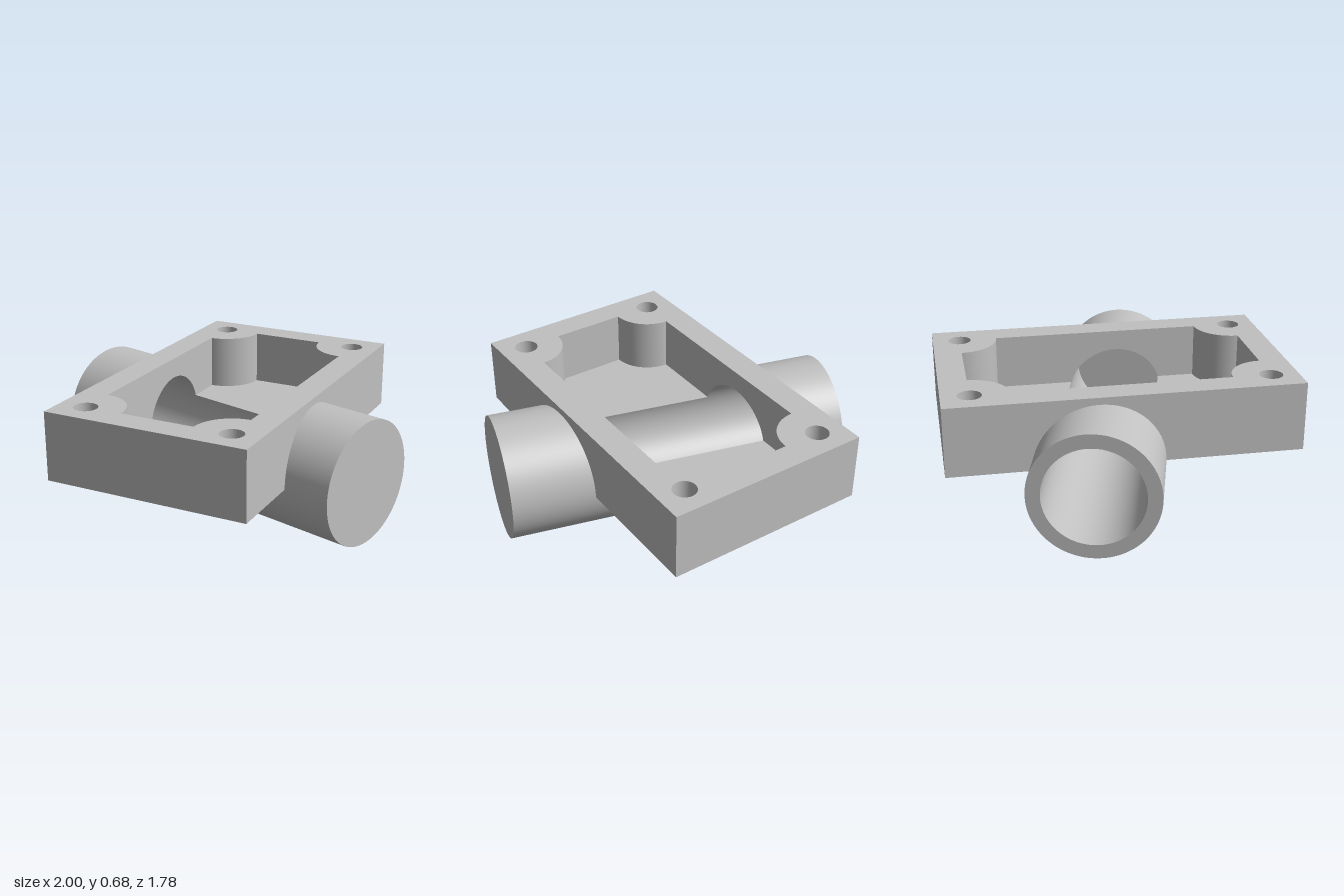
import * as THREE from 'three';

const ANGLE = Math.PI / 12, S = Math.sin(ANGLE), C = Math.cos(ANGLE);
const R = 0.32, BORE = 0.249, AXIS = 0.32, END = 0.89, CAP = 0.818;  // pipe
const L = 0.89, W = 0.534, BOTTOM = 0.32, TOP = 0.676;               // box
const PL = 0.748, PW = 0.391, FLOOR = 0.391;                         // pocket
const BOSS = 0.196, HOLE = 0.06;
const T0 = Math.asin((FLOOR - AXIS) / BORE);   // bore angle at floor level

const metal = new THREE.MeshStandardMaterial({ color: 0xc0c0c0, side: THREE.DoubleSide });
metal.name = 'light grey metal';

function add(group, name, geometry) {
  const mesh = new THREE.Mesh(geometry, metal);
  mesh.name = name;
  group.add(mesh);
  return mesh;
}

// Strip of a pipe wall between two end rules zA(x) and zB(x)
function pipeWall(r, t0, t1, zA, zB, inward) {
  const n = 64, pos = [], nor = [], idx = [], s = inward ? -1 : 1;
  for (let i = 0; i <= n; i++) {
    const t = t0 + (t1 - t0) * i / n, x = r * Math.cos(t), y = AXIS + r * Math.sin(t);
    pos.push(x, y, zA(x), x, y, zB(x));
    for (let k = 0; k < 2; k++) nor.push(s * Math.cos(t), s * Math.sin(t), 0);
    if (i === n) break;
    const a = 2 * i, b = a + 1, c = a + 2, d = a + 3;
    if (inward) idx.push(a, b, c, c, b, d);
    else idx.push(a, c, b, c, d, b);
  }
  const g = new THREE.BufferGeometry();
  g.setAttribute('position', new THREE.Float32BufferAttribute(pos, 3));
  g.setAttribute('normal', new THREE.Float32BufferAttribute(nor, 3));
  g.setIndex(idx);
  return g;
}

// Long wall with a pipe arch cut from its lower edge, facing +z at depth v
function archWall(halfLength, y0, v, t0) {
  const s = new THREE.Shape();
  s.moveTo(-halfLength, y0);
  for (let i = 0; i <= 48; i++) {
    const t = Math.PI - t0 - (Math.PI - 2 * t0) * i / 48;
    s.lineTo((BORE * Math.cos(t) - v * S) / C, AXIS + BORE * Math.sin(t));
  }
  s.lineTo(halfLength, y0);
  s.lineTo(halfLength, TOP);
  s.lineTo(-halfLength, TOP);
  return new THREE.ShapeGeometry(s).translate(0, 0, v);
}

function circle(x, y, r) {
  const p = new THREE.Path();
  p.absarc(x, y, r, 0, Math.PI * 2, false);
  return p;
}

// Notched edge of the pocket on its +x side
function pocketSide(path) {
  path.lineTo(PL - BOSS, -PW);
  path.absarc(PL, -PW, BOSS, Math.PI, Math.PI / 2, true);
  path.lineTo(PL, PW - BOSS);
  path.absarc(PL, PW, BOSS, Math.PI * 1.5, Math.PI, true);
}

function rimShape() {
  const s = new THREE.Shape();
  s.moveTo(-L, -W); s.lineTo(L, -W); s.lineTo(L, W); s.lineTo(-L, W);
  const pocket = new THREE.Path();
  pocket.moveTo(0, -PW);
  pocketSide(pocket);
  pocket.lineTo(BOSS - PL, PW);
  pocket.absarc(-PL, PW, BOSS, 0, -Math.PI / 2, true);
  pocket.lineTo(-PL, BOSS - PW);
  pocket.absarc(-PL, -PW, BOSS, Math.PI / 2, 0, true);
  pocket.closePath();
  s.holes.push(pocket);
  for (const x of [-PL, PL]) for (const y of [-PW, PW]) s.holes.push(circle(x, y, HOLE));
  return s;
}

// Half of the box; the other half is the same turned by 180 degrees
function boxHalf() {
  const half = new THREE.Group();
  add(half, 'longOuterWall', archWall(L, BOTTOM, W, 0));
  add(half, 'longPocketWall', archWall(PL - BOSS, FLOOR, -PW, T0));
  add(half, 'endOuterWall', new THREE.PlaneGeometry(2 * W, TOP - BOTTOM)
    .rotateY(Math.PI / 2).translate(L, (TOP + BOTTOM) / 2, 0));
  add(half, 'endPocketWall', new THREE.PlaneGeometry(2 * (PW - BOSS), TOP - FLOOR)
    .rotateY(Math.PI / 2).translate(-PL, (TOP + FLOOR) / 2, 0));

  // pocket floor beside the open bore (shape y is -z)
  const k = BORE * Math.cos(T0);
  const floor = new THREE.Shape();
  floor.moveTo((k - PW * S) / C, -PW);
  pocketSide(floor);
  floor.lineTo((k + PW * S) / C, PW);
  add(half, 'pocketFloor', new THREE.ShapeGeometry(floor, 16)
    .rotateX(-Math.PI / 2).translate(0, FLOOR, 0));

  // underside beside the pipe (shape y is +z)
  const under = new THREE.Shape();
  under.moveTo((0.3 + W * S) / C, -W);
  under.lineTo(L, -W);
  under.lineTo(L, W);
  under.lineTo((0.3 - W * S) / C, W);
  for (const y of [-PW, PW]) under.holes.push(circle(PL, y, HOLE));
  add(half, 'underside', new THREE.ShapeGeometry(under, 16)
    .rotateX(Math.PI / 2).translate(0, BOTTOM, 0));

  // screw bosses and their through holes
  for (const side of [-1, 1]) {
    const start = side < 0 ? Math.PI * 1.5 : Math.PI;
    add(half, 'screwBoss', new THREE.CylinderGeometry(BOSS, BOSS, TOP - FLOOR, 16, 1, true, start, Math.PI / 2)
      .translate(PL, (TOP + FLOOR) / 2, side * PW));
    const hole = new THREE.CylinderGeometry(HOLE, HOLE, TOP - BOTTOM, 32, 1, true);
    add(half, 'screwHole', hole.translate(PL, (TOP + BOTTOM) / 2, side * PW));
  }
  return half;
}

export function createModel() {
  const model = new THREE.Group();
  model.name = 'pipeMountedBox';

  // open-topped box, turned on the pipe
  const box = new THREE.Group();
  box.name = 'box';
  box.rotation.y = ANGLE;
  for (const turn of [0, Math.PI]) {
    const half = boxHalf();
    half.name = turn ? 'leftBoxHalf' : 'rightBoxHalf';
    if (!turn) half.name = 'boxHalf';
    else half.name = 'oppositeBoxHalf';
    half.rotation.y = turn;
    box.add(half);
  }
  add(box, 'rim', new THREE.ShapeGeometry(rimShape(), 16).rotateX(-Math.PI / 2).translate(0, TOP, 0));
  model.add(box);

  // pipe, open at the back and closed at the front
  const pipe = new THREE.Group();
  pipe.name = 'pipe';
  const at = z => () => z;
  const plane = v => x => (v - x * S) / C;
  add(pipe, 'lowerPipe', pipeWall(R, Math.PI, 2 * Math.PI, at(-END), at(END), false));
  add(pipe, 'frontUpperPipe', pipeWall(R, 0, Math.PI, plane(W), at(END), false));
  add(pipe, 'backUpperPipe', pipeWall(R, 0, Math.PI, at(-END), plane(-W), false));
  add(pipe, 'lowerBore', pipeWall(BORE, Math.PI - T0, 2 * Math.PI + T0, at(-END), at(CAP), true));
  add(pipe, 'frontUpperBore', pipeWall(BORE, T0, Math.PI - T0, plane(PW), at(CAP), true));
  add(pipe, 'backUpperBore', pipeWall(BORE, T0, Math.PI - T0, at(-END), plane(-PW), true));
  add(pipe, 'frontCap', new THREE.CircleGeometry(R, 128).translate(0, AXIS, END));
  add(pipe, 'capInside', new THREE.CircleGeometry(BORE, 128).rotateY(Math.PI).translate(0, AXIS, CAP));
  add(pipe, 'backRing', new THREE.RingGeometry(BORE, R, 128).rotateY(Math.PI).translate(0, AXIS, -END));
  model.add(pipe);

  return model;
}
